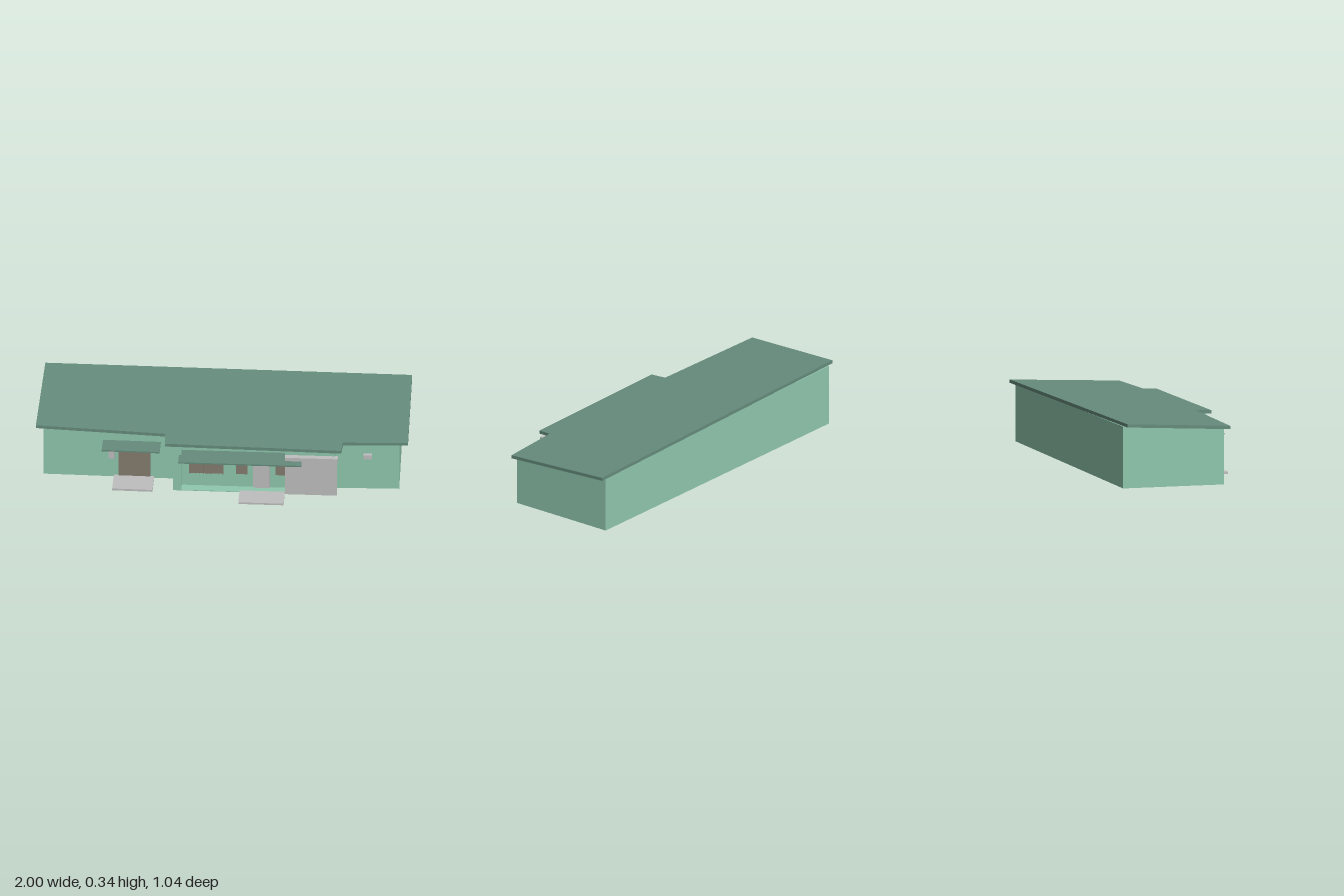
import * as THREE from 'three';

const mat = (name, color) => new THREE.MeshStandardMaterial({ name, color });

// Underside of the single-pitch roof: falls gently towards the front
const eave = (z) => 0.294 - 0.0565 * z;
const ROOF_THICKNESS = 0.017;

// Vertical prism over a plan outline of [x, z] points; height is shaped afterwards
function prism(points, height) {
  const shape = new THREE.Shape(points.map(([x, z]) => new THREE.Vector2(x, -z)));
  const geo = new THREE.ExtrudeGeometry(shape, { depth: height, bevelEnabled: false });
  return geo.rotateX(-Math.PI / 2);
}

function reshapeY(geo, rule) {
  const p = geo.attributes.position;
  for (let i = 0; i < p.count; i++) p.setY(i, rule(p.getY(i), p.getZ(i)));
  geo.computeVertexNormals();
  return geo;
}

export function createModel() {
  const model = new THREE.Group();
  model.name = 'house';
  const wallGreen = mat('wall green', 0x90c8ae);
  const roofGreen = mat('roof green', 0x668c7d);
  const grey = mat('light grey', 0xbfbfbf);
  const brown = mat('window brown', 0x857c6f);

  const add = (parent, name, geo, material) => {
    const mesh = new THREE.Mesh(geo, material);
    mesh.name = name;
    parent.add(mesh);
    return mesh;
  };

  // Plan: stepped front, with a shallow porch recess between fin and garage
  const backAndLeft = [[0.83, 0.465], [0.95, -0.105], [-0.815, -0.523], [-0.957, 0.0]];
  const innerCorner = [-0.306, 0.163];
  const finCorner = [-0.326, 0.273];
  const garageCorner = [0.493, 0.466];
  const rightStart = [0.507, 0.398];
  const walls = prism([
    ...backAndLeft, innerCorner, finCorner,
    [-0.283, 0.283], [-0.272, 0.235], [0.251, 0.358], [0.241, 0.407],
    garageCorner, rightStart,
  ], 1);
  add(model, 'walls', reshapeY(walls, (y, z) => (y > 0.5 ? eave(z) : 0)), wallGreen);
  add(model, 'porchFloor', prism([finCorner, [0.241, 0.407], [0.251, 0.35], [-0.306, 0.22]], 0.004), wallGreen);

  // Overhanging roof slab
  const roof = prism([
    [-0.855, -0.522], [-1, 0.013], [-0.352, 0.195], [-0.368, 0.281],
    [0.52, 0.49], [0.542, 0.42], [0.874, 0.476], [1, -0.11],
  ], ROOF_THICKNESS);
  add(model, 'roof', reshapeY(roof, (y, z) => y + eave(z)), roofGreen);

  // A facade is a local frame on a wall: x along it, z outwards
  function facade(name, x0, z0, slope) {
    const g = new THREE.Group();
    g.name = name;
    g.position.set(x0, 0, z0);
    g.rotation.y = -Math.atan(slope);
    model.add(g);
    const stretch = Math.hypot(1, slope);
    // Box between plan positions xa..xb, heights ya..yb and distances za..zb from the wall
    return (part, material, xa, xb, ya, yb, za, zb) => {
      const geo = new THREE.BoxGeometry((xb - xa) * stretch, yb - ya, zb - za);
      const mesh = add(g, part, geo, material);
      mesh.position.set(((xa + xb) / 2 - x0) * stretch, (ya + yb) / 2, (za + zb) / 2);
    };
  }

  // Left wing: entrance with canopy, step and lamp
  const left = facade('leftEntrance', -0.957, 0, 0.25);
  left('leftDoor', brown, -0.58, -0.42, 0.01, 0.2, -0.002, 0.006);
  left('leftCanopy', roofGreen, -0.658, -0.367, 0.214, 0.222, -0.01, 0.098);
  left('leftStep', grey, -0.603, -0.4, 0, 0.011, -0.01, 0.135);
  left('leftLamp', grey, -0.628, -0.6, 0.12, 0.165, -0.002, 0.02);

  // Porch: windows and door on the recessed wall
  const porch = facade('porch', -0.272, 0.235, 0.235);
  porch('wideWindow', brown, -0.235, -0.062, 0.08, 0.19, -0.002, 0.003);
  for (const x of [-0.235, -0.206, -0.184, -0.165, -0.147, -0.129, -0.09, -0.066]) {
    porch('windowBar', brown, x, x + 0.004, 0.08, 0.19, 0, 0.009);
  }
  porch('middleWindow', brown, 0.002, 0.06, 0.083, 0.187, -0.002, 0.006);
  porch('porchDoor', grey, 0.087, 0.172, 0.006, 0.197, -0.002, 0.012);
  porch('sideWindow', brown, 0.2, 0.248, 0.083, 0.187, -0.002, 0.006);
  porch('porchCanopy', roofGreen, -0.284, 0.337, 0.21, 0.218, -0.005, 0.12);
  porch('porchStep', grey, 0.022, 0.25, 0, 0.01, 0.048, 0.163);

  // Garage: roller door with its housing
  const garage = facade('garage', 0.241, 0.407, 0.235);
  garage('rollerDoor', grey, 0.241, 0.503, 0.004, 0.22, -0.002, 0.012);
  garage('rollerHousing', grey, 0.241, 0.507, 0.213, 0.238, -0.002, 0.028);

  // Right wing: small wall box
  const right = facade('rightWing', 0.507, 0.398, 0.207);
  right('wallBox', grey, 0.648, 0.692, 0.188, 0.213, -0.002, 0.018);

  return model;
}
